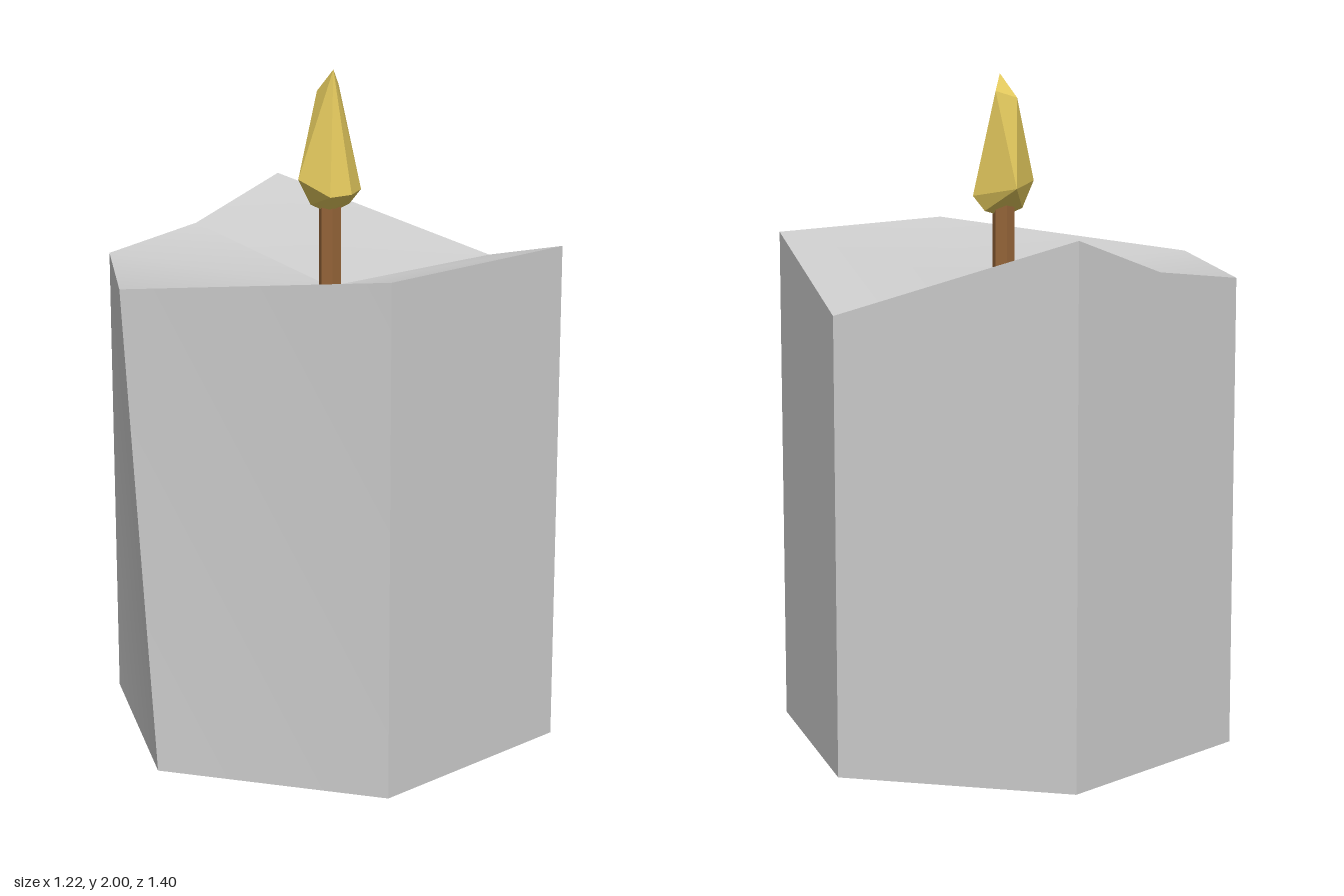
import * as THREE from 'three';
import { toCreasedNormals } from 'three/addons/utils/BufferGeometryUtils.js';
import { ConvexGeometry } from 'three/addons/geometries/ConvexGeometry.js';

const wax = new THREE.MeshStandardMaterial({ name: 'wax', color: 0xcccccc });
const wickBrown = new THREE.MeshStandardMaterial({ name: 'wick brown', color: 0x966539 });
const flameYellow = new THREE.MeshStandardMaterial({ name: 'flame yellow', color: 0xe0c65c });

// Uneven six-sided wax body with a sunken, melted top
function waxGeometry() {
  // rim corners, counterclockwise from the back: [x, y, z, base x if shifted]
  const rim = [
    [0, 1.343, -0.7],
    [-0.608, 1.57, -0.35],
    [-0.608, 1.455, 0],
    [-0.608, 1.41, 0.35],
    [-0.13, 1.43, 0.7, 0],
    [0.608, 1.515, 0.35],
    [0.608, 1.515, -0.35],
  ];
  const top = rim.map(([x, y, z]) => [x, y, z]);
  const base = rim.map(([x, , z, bx]) => [bx ?? x, 0, z]);
  const topCentre = [0, 1.35, 0];
  const baseCentre = [0, 0, 0];
  const points = [];
  const tri = (a, b, c) => points.push(...a, ...b, ...c);
  for (let i = 0; i < rim.length; i++) {
    const j = (i + 1) % rim.length;
    tri(topCentre, top[i], top[j]);
    tri(base[i], base[j], top[i]);
    tri(base[j], top[j], top[i]);
    tri(baseCentre, base[j], base[i]);
  }
  const geometry = new THREE.BufferGeometry();
  geometry.setAttribute('position', new THREE.Float32BufferAttribute(points, 3));
  return toCreasedNormals(geometry, THREE.MathUtils.degToRad(30));
}

// Faceted flame: lower point, wide belt, slanted tip
function flameGeometry() {
  const corners = [
    [0.01, 1.575, 0.01], [-0.03, 1.6, 0.05], [0.02, 1.595, -0.06],
    [-0.093, 1.665, -0.042], [0.045, 1.64, -0.085], [0.093, 1.64, 0],
    [0.065, 1.635, 0.06], [-0.035, 1.68, 0.095],
    [-0.055, 1.93, 0], [-0.012, 1.95, -0.047], [0.015, 2, 0],
  ];
  return new ConvexGeometry(corners.map((p) => new THREE.Vector3(...p)));
}

export function createModel() {
  const group = new THREE.Group();
  group.name = 'candle';
  const add = (name, geometry, material) => {
    const mesh = new THREE.Mesh(geometry, material);
    mesh.name = name;
    group.add(mesh);
    return mesh;
  };

  add('waxBody', waxGeometry(), wax);

  // Wick
  const wick = new THREE.CylinderGeometry(0.034, 0.034, 0.3, 6).toNonIndexed();
  wick.computeVertexNormals();
  add('wick', wick, wickBrown).position.y = 1.48;

  add('flame', flameGeometry(), flameYellow);
  return group;
}
